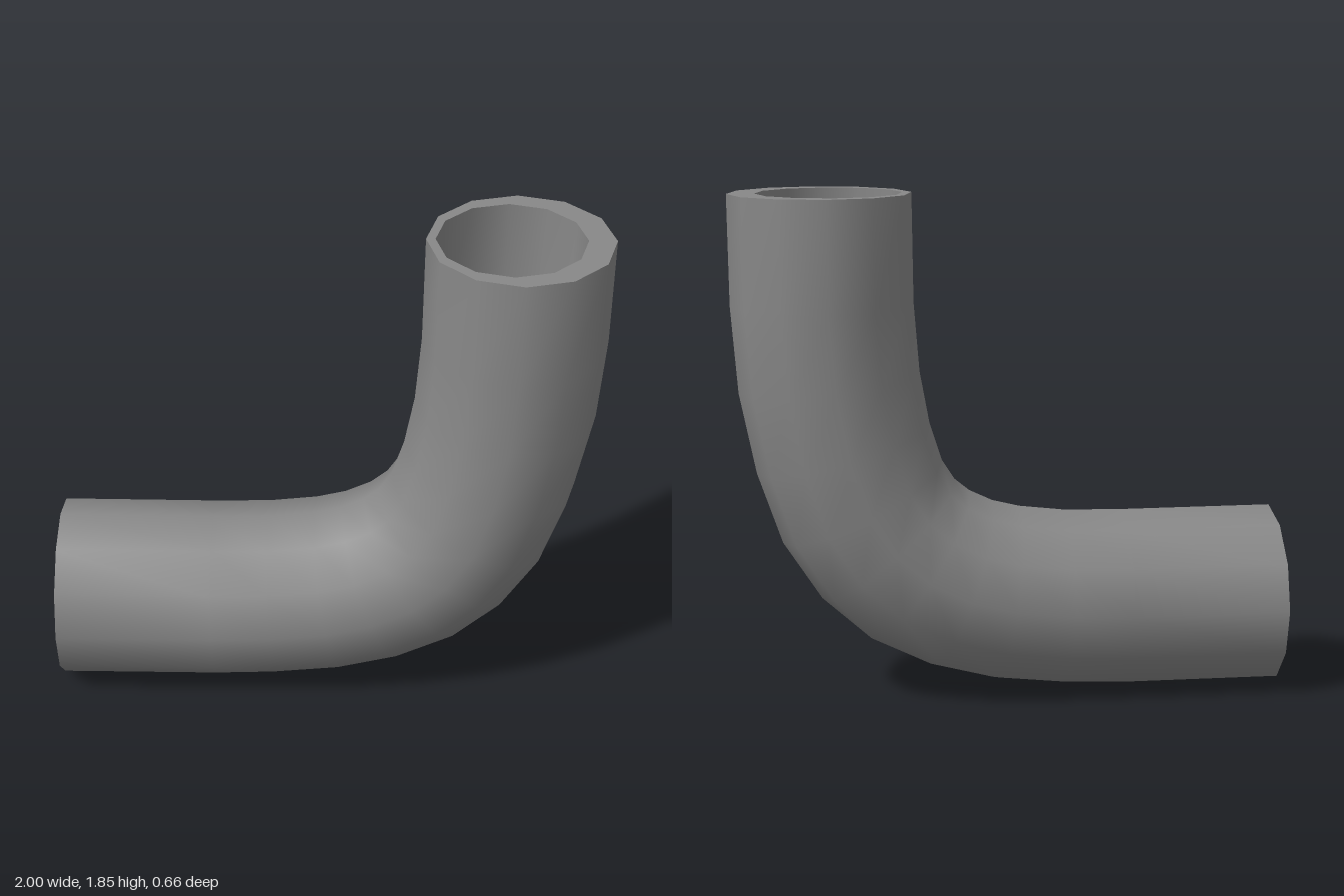
import * as THREE from 'three';

const SIDES = 12, RADIUS = 0.33, BORE = 0.8;

// Cross-sections along the bend: outer-bend x, y and inner-bend x, y
const SECTIONS = [
  [-1, 0, -1, 0.665],
  [-0.42, 0.003, -0.43, 0.665],
  [-0.2, 0.013, -0.22, 0.67],
  [0.05, 0.04, -0.05, 0.69],
  [0.28, 0.1, 0.05, 0.715],
  [0.5, 0.207, 0.135, 0.755],
  [0.68, 0.367, 0.19, 0.8],
  [0.82, 0.58, 0.235, 0.87],
  [0.91, 0.84, 0.28, 1.01],
  [0.97, 1.135, 0.315, 1.2],
  [0.995, 1.45, 0.335, 1.45],
  [1, 1.85, 0.34, 1.85],
];

// One 12-sided loop; shift moves its centre towards the inside of the bend
function ring([ox, oy, ix, iy], scale, shift) {
  const hx = (ox - ix) / 2, hy = (oy - iy) / 2;
  return Array.from({ length: SIDES }, (_, j) => {
    const a = (j / SIDES) * Math.PI * 2;
    const k = Math.cos(a) * scale - shift;
    return [(ox + ix) / 2 + hx * k, (oy + iy) / 2 + hy * k, Math.sin(a) * RADIUS * scale];
  });
}

// Skin joining successive closed loops
function loft(name, loops, material) {
  const index = [];
  for (let i = 0; i < loops.length - 1; i++) {
    for (let j = 0; j < SIDES; j++) {
      const k = (j + 1) % SIDES;
      const a = i * SIDES + j, b = a + SIDES, d = i * SIDES + k, c = d + SIDES;
      index.push(a, b, d, b, c, d);
    }
  }
  const geometry = new THREE.BufferGeometry();
  geometry.setAttribute('position', new THREE.Float32BufferAttribute(loops.flat(2), 3));
  geometry.setIndex(index);
  geometry.computeVertexNormals();
  const mesh = new THREE.Mesh(geometry, material);
  mesh.name = name;
  return mesh;
}

export function createModel() {
  const group = new THREE.Group();
  group.name = 'pipeElbow';
  const material = new THREE.MeshStandardMaterial({ color: 0x888888 });

  const last = SECTIONS.length - 1;
  const outer = SECTIONS.map((s) => ring(s, 1, 0));
  // The bore drifts slightly off centre towards the upper end
  const inner = SECTIONS.map((s, i) => ring(s, BORE, 0.1 * i / last));

  group.add(
    loft('outerWall', outer, material),
    loft('innerWall', [...inner].reverse(), material),
    loft('sideRim', [inner[0], outer[0]], material),
    loft('topRim', [outer[last], inner[last]], material),
  );
  return group;
}
